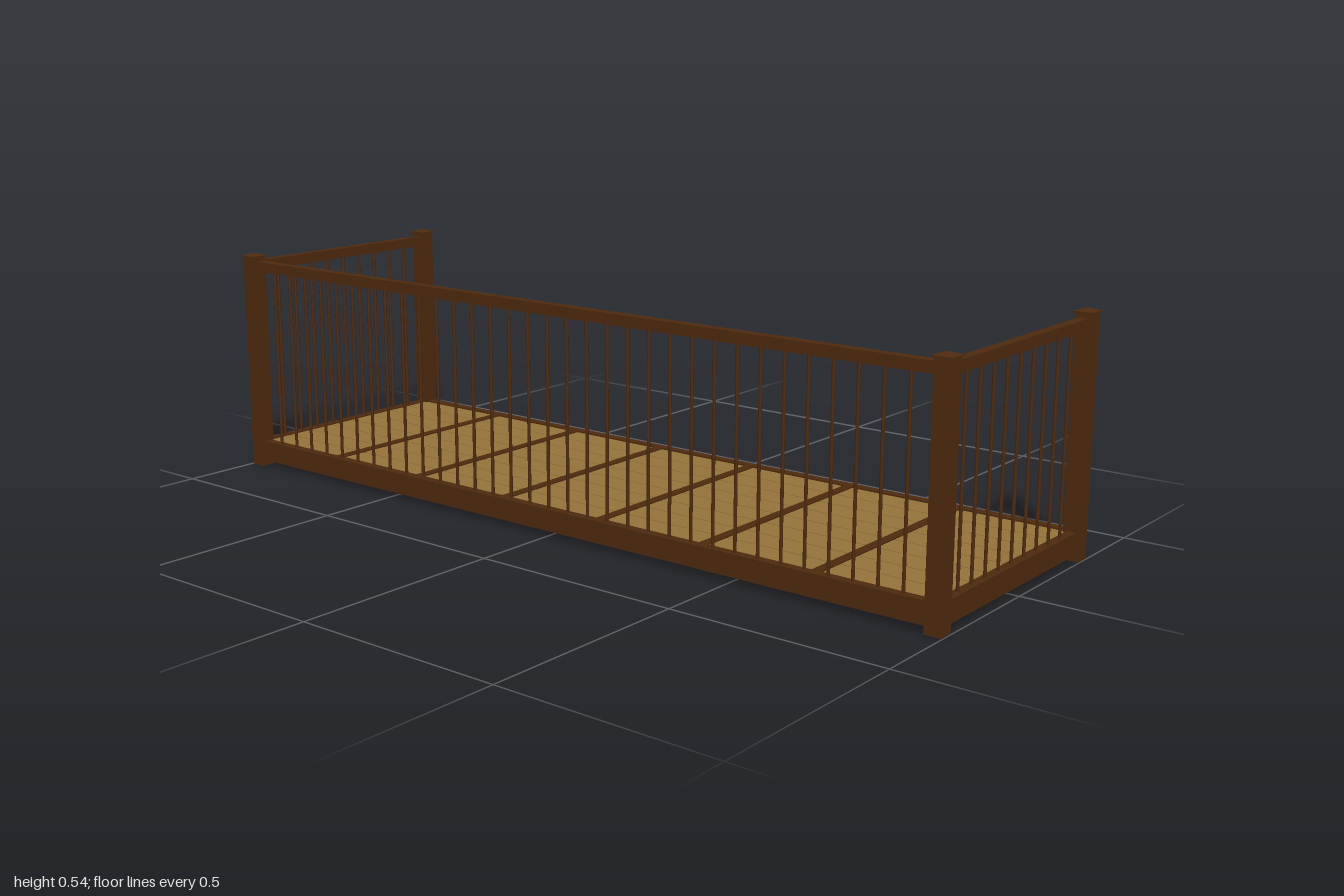
import * as THREE from 'three';

export function createModel() {
  const model = new THREE.Group();
  const wood = new THREE.MeshStandardMaterial({ color: 0x4e2a0e });
  const deckWood = new THREE.MeshStandardMaterial({ color: 0x94733a });

  const PX = 0.978, PZ = 0.2915;   // post centres
  const POST = 0.0375, BEAM = 0.022;
  const BEAM_LOW = 0.014, BEAM_TOP = 0.064;
  const RAIL_LOW = 0.5, RAIL_TOP = 0.525;

  const add = (parent, name, geometry, material, x, y, z) => {
    const mesh = new THREE.Mesh(geometry, material);
    mesh.name = name;
    mesh.position.set(x, y, z);
    parent.add(mesh);
    return mesh;
  };
  // box given by its centre in x and z, and its lower and upper height
  const box = (parent, name, w, d, y0, y1, x, z, material = wood) =>
    add(parent, name, new THREE.BoxGeometry(w, y1 - y0, d), material, x, (y0 + y1) / 2, z);

  // corner posts with pyramid caps
  const capTop = new THREE.ConeGeometry(0.043 / Math.SQRT2, 0.006, 4, 1).rotateY(Math.PI / 4).toNonIndexed();
  capTop.computeVertexNormals();
  for (const sx of [-1, 1]) for (const sz of [-1, 1]) {
    const post = new THREE.Group();
    post.name = 'cornerPost';
    post.position.set(sx * PX, 0, sz * PZ);
    box(post, 'postShaft', POST, POST, 0, 0.534, 0, 0);
    box(post, 'capPlate', 0.043, 0.043, 0.534, 0.538, 0, 0);
    add(post, 'capPyramid', capTop, wood, 0, 0.541, 0);
    model.add(post);
  }

  // floor frame: edge beams between the posts
  const spanX = 2 * PX - POST, spanZ = 2 * PZ - POST;
  for (const s of [-1, 1]) {
    box(model, 'longBeam', spanX, BEAM, BEAM_LOW, BEAM_TOP, 0, s * PZ);
    box(model, 'endBeam', BEAM, spanZ, BEAM_LOW, BEAM_TOP, s * PX, 0);
  }

  // cross joists and the planks laid in each bay between them
  const bays = 7, bay = (2 * PX) / bays, planks = 8;
  const innerZ = 2 * PZ - BEAM, plankPitch = innerZ / planks;
  for (let i = 0; i < bays; i++) {
    if (i > 0) box(model, 'joist', BEAM, innerZ, BEAM_LOW, BEAM_TOP, -PX + i * bay, 0);
    for (let j = 0; j < planks; j++) {
      box(model, 'plank', bay - BEAM, plankPitch - 0.003, 0.05, 0.061,
        -PX + (i + 0.5) * bay, -innerZ / 2 + (j + 0.5) * plankPitch, deckWood);
    }
  }

  // railing along local x: a top rail over evenly spaced round balusters
  const baluster = new THREE.CylinderGeometry(0.0037, 0.0037, RAIL_LOW - BEAM_TOP, 8);
  const railing = (name, span, count) => {
    const group = new THREE.Group();
    group.name = name;
    box(group, 'topRail', span, BEAM, RAIL_LOW, RAIL_TOP, 0, 0);
    for (let i = 1; i <= count; i++) {
      add(group, 'baluster', baluster, wood, -span / 2 + (i * span) / (count + 1), (RAIL_LOW + BEAM_TOP) / 2, 0);
    }
    model.add(group);
    return group;
  };
  // the back stays open
  railing('frontRailing', spanX, 33).position.z = PZ;
  for (const s of [-1, 1]) {
    const side = railing(s > 0 ? 'leftRailing' : 'rightRailing', spanZ, 9);
    side.rotation.y = Math.PI / 2;
    side.position.x = s * PX;
  }
  return model;
}
